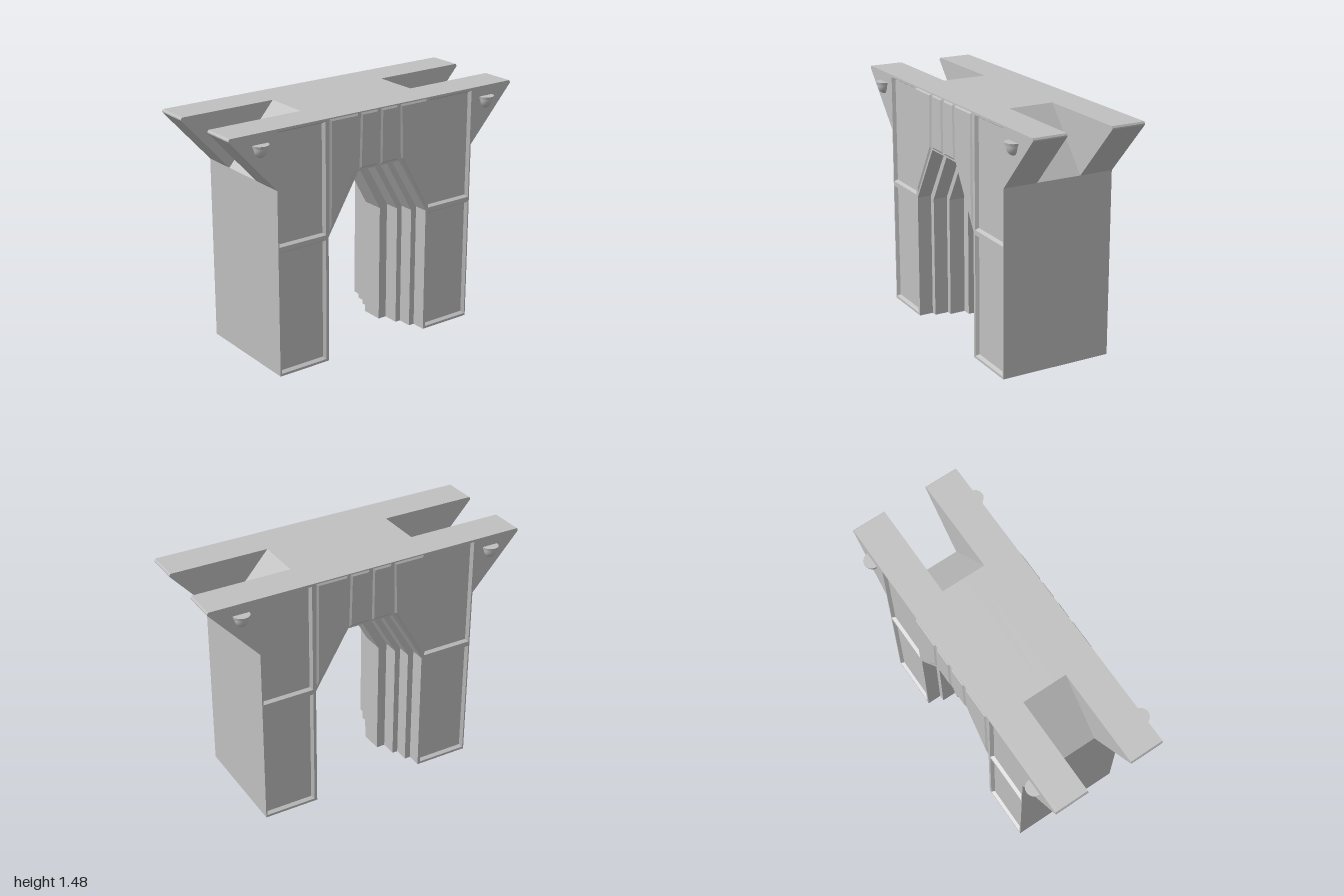
import * as THREE from 'three';

const mirror = (pts) => [...pts, ...pts.slice().reverse().map(([x, y]) => [-x, y])];
const toShape = (pts) => new THREE.Shape(pts.map(([x, y]) => new THREE.Vector2(x, y)));

// Right half outlines, from the foot up to the top
const coreSide = [[0.7, 0], [0.7, 1.13], [0.395, 1.48]];
const wingSide = [[0.7, 0], [0.7, 1.13], [1, 1.463], [1, 1.47], [0.993, 1.48]];

// Right half of each arch opening, from the crown down to the foot
const arches = [
  [[0.08, 1.01], [0.23, 0.74], [0.23, 0]],
  [[0.11, 1.06], [0.285, 0.755], [0.285, 0]],
  [[0.128, 1.1], [0.32, 0.765], [0.32, 0]],
  [[0.146, 1.135], [0.357, 0.78], [0.357, 0]],
];

function wallShape(side, arch) {
  const opening = mirror(arch.slice().reverse()).reverse();
  return toShape([...mirror(side), ...opening]);
}

// Moves every edge of a counter-clockwise polygon inwards by d
function inset(pts, d) {
  const n = pts.length;
  return pts.map((p, i) => {
    const a = pts[(i + n - 1) % n], b = pts[(i + 1) % n];
    const u = new THREE.Vector2(p[0] - a[0], p[1] - a[1]).normalize();
    const v = new THREE.Vector2(b[0] - p[0], b[1] - p[1]).normalize();
    const k = d / (1 + u.dot(v));
    return [p[0] - (u.y + v.y) * k, p[1] + (u.x + v.x) * k];
  });
}

// Sloped border joining an outer polygon at z0 to an inner one at z1
function slopedBorder(outer, z0, inner, z1) {
  const pos = [];
  outer.forEach((a, i) => {
    const j = (i + 1) % outer.length;
    const b = outer[j], c = inner[j], d = inner[i];
    pos.push(...a, z0, ...b, z0, ...c, z1, ...a, z0, ...c, z1, ...d, z1);
  });
  const g = new THREE.BufferGeometry();
  g.setAttribute('position', new THREE.Float32BufferAttribute(pos, 3));
  g.computeVertexNormals();
  return g;
}

export function createModel() {
  const model = new THREE.Group();
  model.name = 'archedPier';
  const stone = new THREE.MeshStandardMaterial({ color: 0xc0c0c0 });
  stone.name = 'grey stone';

  const half = new THREE.Group();
  half.name = 'frontHalf';
  const add = (name, geometry, z = 0, parent = half) => {
    const m = new THREE.Mesh(geometry, stone);
    m.name = name;
    m.position.z = z;
    parent.add(m);
    return m;
  };
  const slab = (name, shape, z0, z1) =>
    add(name, new THREE.ExtrudeGeometry(shape, { depth: z1 - z0, bevelEnabled: false }), z0);

  // Stepped wall layers, from the middle outwards
  slab('coreWall', wallShape(coreSide, arches[0]), 0, 0.07);
  slab('coreStep', wallShape(coreSide, arches[1]), 0.07, 0.14);
  slab('innerWingWall', wallShape(wingSide, arches[1]), 0.14, 0.17);
  slab('middleWingWall', wallShape(wingSide, arches[2]), 0.17, 0.26);
  slab('outerWingWall', wallShape(wingSide, arches[3]), 0.26, 0.33);

  // Facing layer with sunken leg panels
  const facing = wallShape(wingSide, arches[3]);
  for (const s of [-1, 1]) {
    for (const [y0, y1] of [[0.015, 0.765], [0.795, 1.465]]) {
      const xs = [s * 0.375, s * 0.692].sort((a, b) => a - b);
      const rim = [[xs[0], y0], [xs[1], y0], [xs[1], y1], [xs[0], y1]];
      facing.holes.push(new THREE.Path(rim.map(([x, y]) => new THREE.Vector2(x, y))));
      add('legPanelBorder', slopedBorder(rim, 0.35, inset(rim, 0.012), 0.33));
    }
  }
  slab('facingWall', facing, 0.33, 0.35);

  // Raised panels above the arch
  const sidePanel = [[0.352, 0.81], [0.347, 1.473], [0.15, 1.473], [0.16, 1.145]];
  const crownPanel = [[0.14, 1.145], [0.132, 1.473], [0.011, 1.473], [0.009, 1.145]];
  for (const panel of [sidePanel, crownPanel]) {
    const flipped = panel.map(([x, y]) => [-x, y]).reverse();
    for (const pts of [panel, flipped]) {
      const top = inset(pts, 0.011);
      add('archPanelBorder', slopedBorder(pts, 0.35, top, 0.357));
      add('archPanelFace', new THREE.ShapeGeometry(toShape(top)), 0.357);
    }
  }

  // Domed lamps under small caps on the wings
  for (const s of [-1, 1]) {
    const lamp = new THREE.Group();
    lamp.name = 'wingLamp';
    lamp.position.set(s * 0.805, 1.4, 0.352);
    add('lampCap', new THREE.CylinderGeometry(0.05, 0.047, 0.016, 24), 0, lamp).position.y = 0.009;
    add('lampDome', new THREE.SphereGeometry(0.041, 24, 10, 0, Math.PI * 2, Math.PI / 2, Math.PI / 2), 0, lamp)
      .scale.y = 1.4;
    half.add(lamp);
  }

  // The back repeats the front
  const back = half.clone();
  back.name = 'backHalf';
  back.rotation.y = Math.PI;
  model.add(half, back);
  return model;
}
